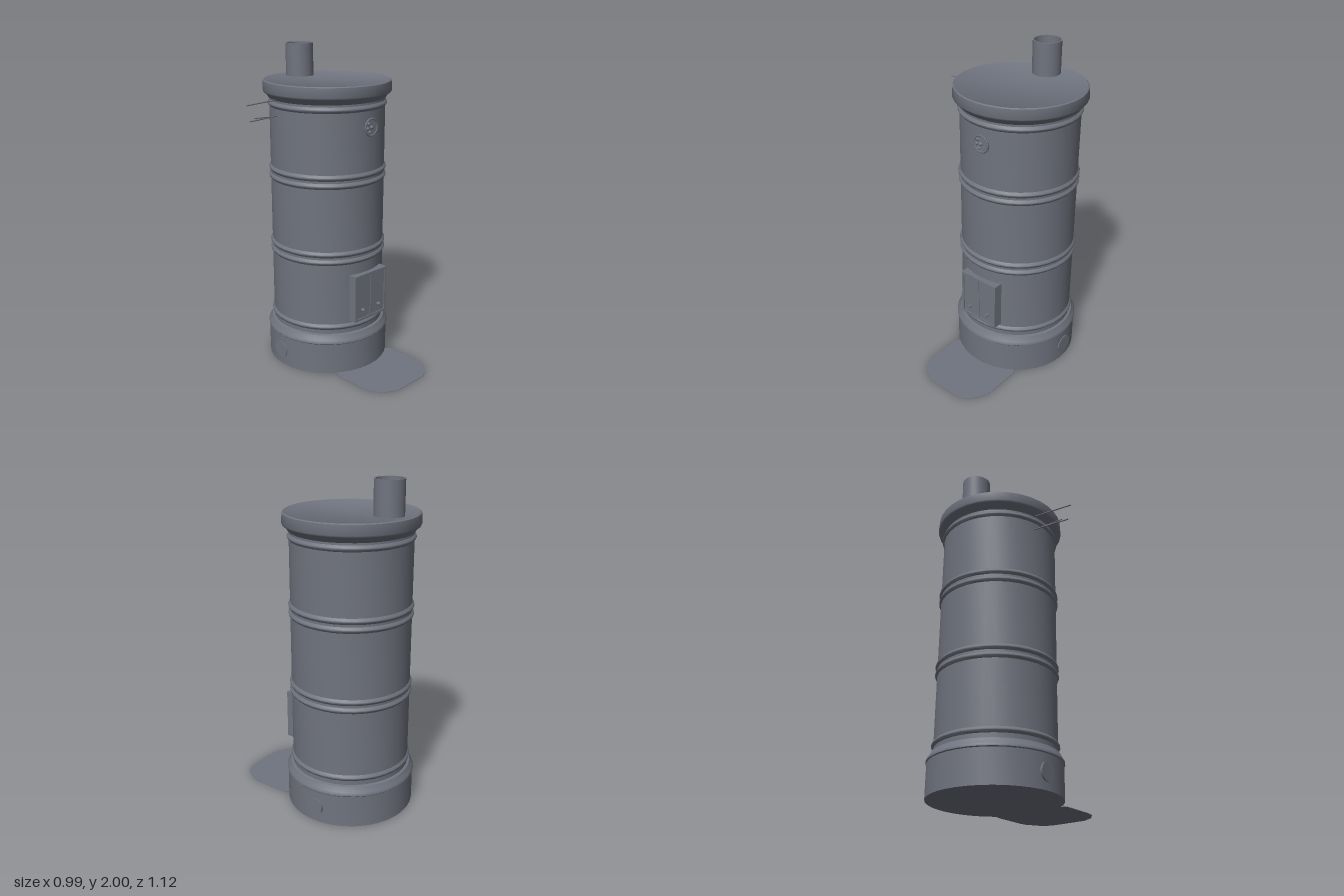
import * as THREE from 'three';
import { toCreasedNormals } from 'three/addons/utils/BufferGeometryUtils.js';

const SIDES = 36;

export function createModel() {
  const iron = new THREE.MeshStandardMaterial({ color: 0x70747f, side: THREE.DoubleSide });
  iron.name = 'grey iron';
  const model = new THREE.Group();
  model.name = 'barrelStove';

  // Everything round shares the barrel's vertical axis
  const stove = new THREE.Group();
  stove.name = 'stove';
  stove.position.set(0.095, 0, -0.165);
  model.add(stove);

  const add = (name, geometry, x = 0, y = 0, z = 0, parent = stove) => {
    const mesh = new THREE.Mesh(geometry, iron);
    mesh.name = name;
    mesh.position.set(x, y, z);
    parent.add(mesh);
    return mesh;
  };
  const turned = (profile, sides = SIDES) => toCreasedNormals(
    new THREE.LatheGeometry(profile.map(([r, y]) => new THREE.Vector2(r, y)), sides), 0.7);

  // Base drum with a sloping shoulder
  add('base', turned([[0, 0], [0.388, 0], [0.388, 0.2], [0.393, 0.205], [0.393, 0.215],
    [0.385, 0.225], [0.37, 0.255], [0.35, 0.262]]));

  // Barrel wall with pairs of rolled ribs
  const R = 0.355;
  const wall = [[R, 0.24], [R, 0.27]];
  const rib = (y, h = 0.018, out = 0.012) => {
    for (let i = 0; i <= 6; i++) {
      const t = i / 6;
      wall.push([R + out * Math.sin(Math.PI * t), y + (t - 0.5) * 2 * h]);
    }
  };
  for (const y of [0.305, 0.735, 0.785, 1.215, 1.265, 1.665]) rib(y);
  wall.push([R, 1.73]);
  add('barrel', turned(wall));

  // Overhanging lid
  add('lid', turned([[0.35, 1.692], [0.362, 1.7], [0.375, 1.72], [0.39, 1.73], [0.395, 1.74],
    [0.391, 1.798], [0.384, 1.803], [0.38, 1.8], [0, 1.8]]));

  // Open flue pipe
  add('fluePipe', turned([[0.086, 1.79], [0.086, 2], [0.078, 2], [0.078, 1.8]], 28),
    -0.008, 0, -0.245);

  // Round clean-out covers low on both sides
  for (const side of [-1, 1]) {
    const cover = add('cleanOutCover', new THREE.CylinderGeometry(0.055, 0.055, 0.02, 20),
      side * 0.382, 0.1, -0.025);
    cover.rotation.z = Math.PI / 2;
  }

  // Fire door: panel, raised frame, centre seam and two knobs
  const door = new THREE.Group();
  door.name = 'fireDoor';
  door.position.set(0.01, 0.493, 0.355);
  stove.add(door);
  add('doorPanel', new THREE.BoxGeometry(0.26, 0.29, 0.05), 0, 0, -0.001, door);
  for (const s of [-1, 1]) {
    add('doorFrameSide', new THREE.BoxGeometry(0.014, 0.304, 0.06), s * 0.13, 0, 0, door);
    add('doorFrameRail', new THREE.BoxGeometry(0.27, 0.014, 0.06), 0, s * 0.145, 0, door);
    const knob = add('doorKnob', new THREE.CylinderGeometry(0.011, 0.011, 0.03, 12),
      s * 0.07, -0.085, 0.032, door);
    knob.rotation.x = Math.PI / 2;
  }
  add('doorSeam', new THREE.BoxGeometry(0.006, 0.28, 0.008), 0, 0, 0.024, door);

  // Round air vent high on the front
  const vent = new THREE.Group();
  vent.name = 'airVent';
  vent.position.set(0.017, 1.55, 0.353);
  stove.add(vent);
  const disc = add('ventDisc', new THREE.CylinderGeometry(0.052, 0.052, 0.014, 24), 0, 0, 0, vent);
  disc.rotation.x = Math.PI / 2;
  add('ventRim', new THREE.TorusGeometry(0.05, 0.006, 6, 24), 0, 0, 0.006, vent);
  add('ventHub', new THREE.SphereGeometry(0.012, 10, 8), 0, 0, 0.008, vent);
  for (let i = 0; i < 3; i++) {
    const a = Math.PI * (0.75 + i * 0.3);
    add('ventLug', new THREE.SphereGeometry(0.01, 8, 6),
      Math.cos(a) * 0.032, Math.sin(a) * 0.032, 0.007, vent);
  }

  // Thin rods sticking out of the side
  const rod = (name, a, b, r) => add(name, new THREE.TubeGeometry(
    new THREE.LineCurve3(new THREE.Vector3(...a), new THREE.Vector3(...b)), 1, r, 8), 0, 0, 0, model);
  rod('upperRod', [-0.495, 1.7, -0.196], [-0.24, 1.7, -0.24], 0.004);
  rod('lowerRod', [-0.473, 1.605, -0.2], [-0.24, 1.605, -0.24], 0.004);
  rod('rodLatch', [-0.435, 1.618, -0.206], [-0.25, 1.603, -0.238], 0.003);

  // Thin floor plate in front, rounded at the outer corners
  const outline = [[-0.145, 0.18], [-0.135, 0.165], [0.1, 0.1], [0.34, 0.145], [0.355, 0.155],
    [0.362, 0.39], [0.355, 0.43], [0.3, 0.525], [0.24, 0.555], [0, 0.56],
    [-0.08, 0.52], [-0.125, 0.46], [-0.14, 0.4]];
  const plate = new THREE.ExtrudeGeometry(
    new THREE.Shape(outline.map(([x, z]) => new THREE.Vector2(x, z))),
    { depth: 0.003, bevelEnabled: false });
  plate.rotateX(Math.PI / 2);
  add('floorPlate', plate, 0, 0.003, 0, model);

  return model;
}
